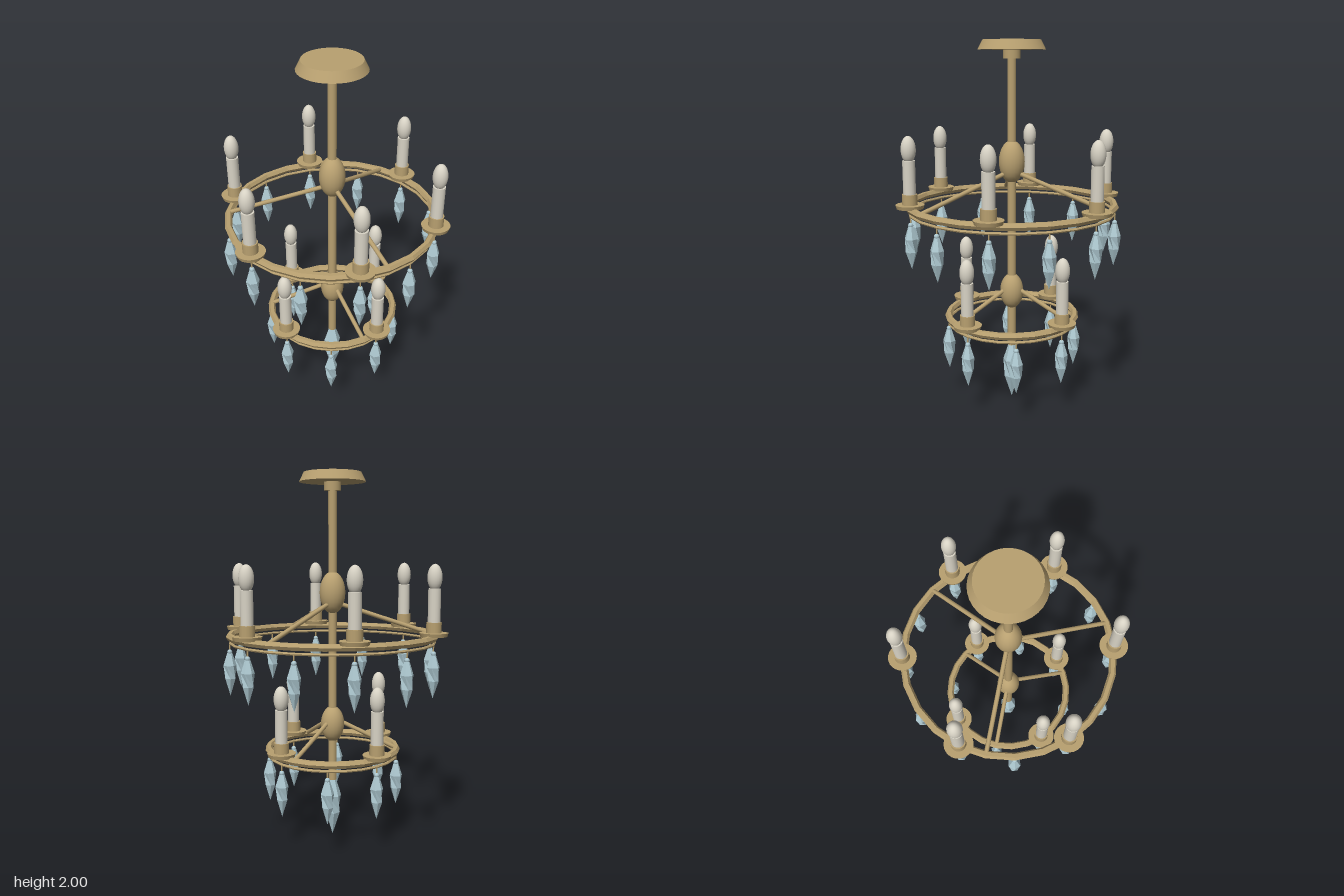
import * as THREE from 'three';

const brass = new THREE.MeshStandardMaterial({ color: 0xb8a070 });
brass.name = 'brass';
const ivory = new THREE.MeshStandardMaterial({ color: 0xd8d3c5 });
ivory.name = 'ivory';
const crystal = new THREE.MeshStandardMaterial({ color: 0xafcad2 });
crystal.name = 'crystal';

function add(parent, name, geometry, material, x = 0, y = 0, z = 0) {
  const mesh = new THREE.Mesh(geometry, material);
  mesh.name = name;
  mesh.position.set(x, y, z);
  parent.add(mesh);
  return mesh;
}

// Give a geometry faceted normals
function faceted(geometry) {
  const g = geometry.toNonIndexed();
  g.computeVertexNormals();
  return g;
}

// Upright cylinder between two heights
function post(parent, name, material, rTop, rBottom, y0, y1, sides = 24) {
  return add(parent, name, new THREE.CylinderGeometry(rTop, rBottom, y1 - y0, sides), material, 0, (y0 + y1) / 2, 0);
}

// Straight rod between two points
function rod(parent, name, a, b, radius) {
  const dir = b.clone().sub(a);
  const mesh = add(parent, name, new THREE.CylinderGeometry(radius, radius, dir.length(), 8), brass);
  mesh.position.copy(a).add(b).multiplyScalar(0.5);
  mesh.quaternion.setFromUnitVectors(new THREE.Vector3(0, 1, 0), dir.normalize());
}

function ellipsoid(rx, ry) {
  return new THREE.SphereGeometry(1, 20, 14).scale(rx, ry, rx);
}

function hoop(radius, tube) {
  return faceted(new THREE.TorusGeometry(radius, tube, 6, 24).rotateX(Math.PI / 2));
}

// Cut drop hanging down from y = 0, with its lower girdle turned half a step
function dropGeometry() {
  const rows = [[0, -0.25], [0.031, -0.155], [0.035, -0.085], [0.014, -0.018], [0, -0.018]];
  const g = new THREE.LatheGeometry(rows.map(([r, y]) => new THREE.Vector2(r, y)), 6);
  const p = g.attributes.position;
  const turn = Math.PI / 6;
  for (let i = 0; i < p.count; i++) {
    if (i % rows.length !== 1) continue;
    const x = p.getX(i), z = p.getZ(i);
    p.setX(i, x * Math.cos(turn) + z * Math.sin(turn));
    p.setZ(i, z * Math.cos(turn) - x * Math.sin(turn));
  }
  return faceted(g);
}

const drop = dropGeometry();

function pendant(parent, x, y, z) {
  const g = new THREE.Group();
  g.name = 'pendant';
  g.position.set(x, y, z);
  add(g, 'drop', drop, crystal);
  add(g, 'bead', new THREE.SphereGeometry(0.014, 8, 6), crystal, 0, -0.012, 0);
  post(g, 'hook', brass, 0.004, 0.004, -0.005, 0.035, 6);
  parent.add(g);
}

// Candle light standing on a drip dish; y = 0 is the dish underside
function candleLight(parent, x, y, z) {
  const g = new THREE.Group();
  g.name = 'candleLight';
  g.position.set(x, y, z);
  post(g, 'dripDish', brass, 0.076, 0.07, 0, 0.02);
  post(g, 'cup', brass, 0.04, 0.04, 0.02, 0.075, 16);
  post(g, 'candle', ivory, 0.033, 0.033, 0.075, 0.25, 16);
  add(g, 'bulb', ellipsoid(0.039, 0.07), ivory, 0, 0.306, 0);
  parent.add(g);
}

function around(count, radius, place, start = 0) {
  for (let i = 0; i < count; i++) {
    const a = start + (i / count) * Math.PI * 2;
    place(Math.cos(a) * radius, -Math.sin(a) * radius);
  }
}

function tier(parent, name, o) {
  const g = new THREE.Group();
  g.name = name;
  add(g, 'hub', ellipsoid(o.hubR, o.hubH), brass, 0, o.hubY, 0);
  add(g, 'ring', hoop(o.radius, 0.02), brass, 0, o.y, 0);
  add(g, 'hangingRing', hoop(o.radius - 0.003, 0.008), brass, 0, o.y - 0.035, 0);
  around(3, 1, (x, z) => rod(g, 'spoke',
    new THREE.Vector3(x * 0.04, o.spokeY, z * 0.04),
    new THREE.Vector3(x * (o.radius - 0.005), o.y + 0.005, z * (o.radius - 0.005)), 0.012), Math.PI / 12);
  around(o.candles, o.radius, (x, z) => candleLight(g, x, o.y + 0.011, z));
  around(o.candles * 2, o.radius, (x, z) => pendant(g, x, o.y - 0.068, z));
  parent.add(g);
}

export function createModel() {
  const model = new THREE.Group();
  model.name = 'chandelier';

  // Ceiling mount and central stem
  post(model, 'canopy', brass, 0.153, 0.178, 1.95, 2, 32);
  post(model, 'collar', brass, 0.045, 0.045, 1.905, 1.95, 20);
  post(model, 'stem', brass, 0.023, 0.023, 0.32, 1.95, 16);

  // Two tiers of lights
  tier(model, 'upperTier', { y: 1.135, radius: 0.558, candles: 6, hubY: 1.365, hubR: 0.07, hubH: 0.115, spokeY: 1.305 });
  tier(model, 'lowerTier', { y: 0.505, radius: 0.354, candles: 4, hubY: 0.64, hubR: 0.065, hubH: 0.1, spokeY: 0.656 });

  // Large drop under the stem
  const finial = add(model, 'finialDrop', drop, crystal, 0, 0.345, 0);
  finial.scale.set(1.4, 1.38, 1.4);
  return model;
}
